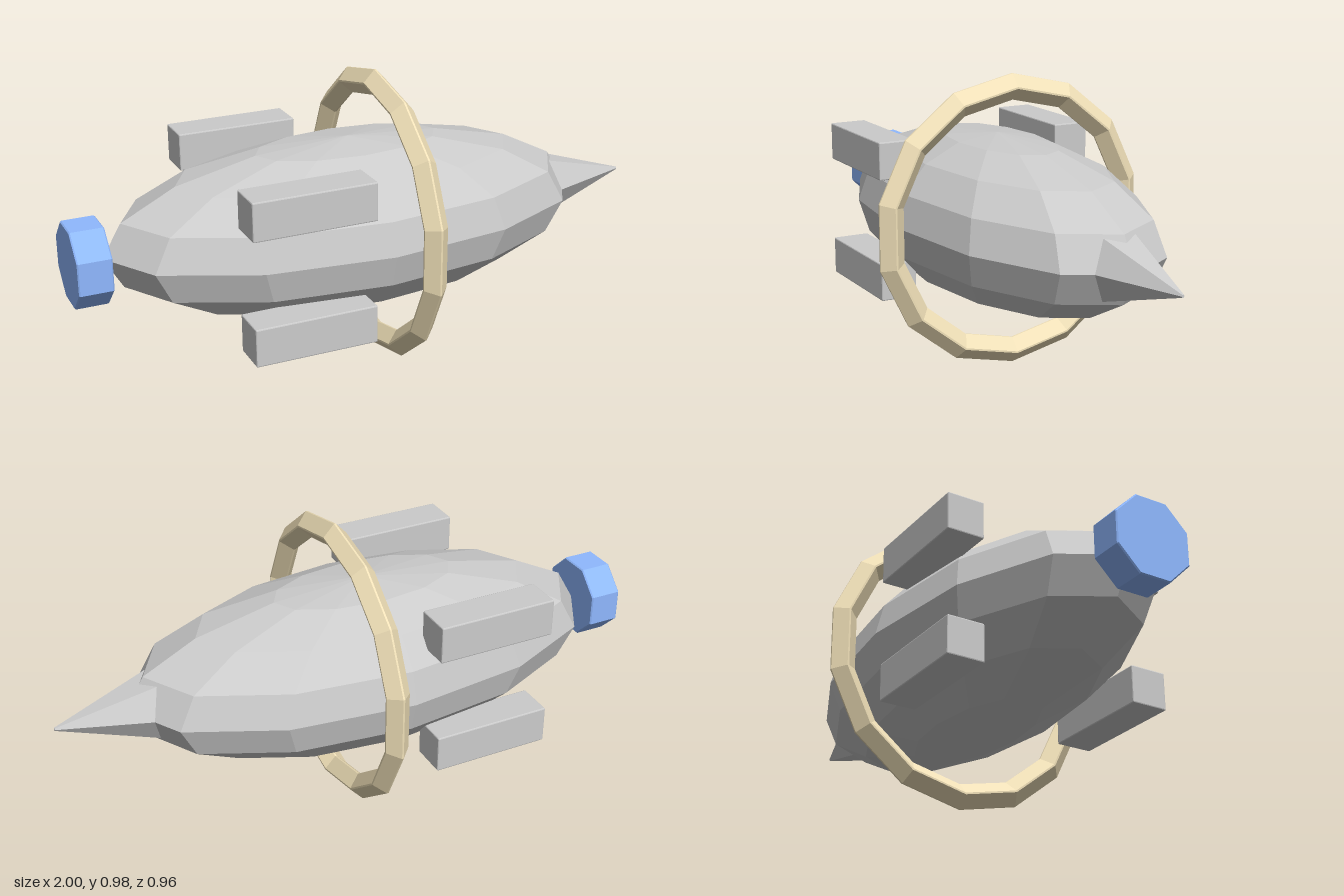
import * as THREE from 'three';
import { RoundedBoxGeometry } from 'three/addons/geometries/RoundedBoxGeometry.js';

const AXIS_Y = 0.494; // height of the long axis

const flat = (color) => new THREE.MeshStandardMaterial({ color, flatShading: true });

// Turn a [distance along x, radius] profile around the long axis.
function turned(profile, sides, phiStart = 0) {
  const points = profile.map(([x, r]) => new THREE.Vector2(r, x));
  return new THREE.LatheGeometry(points, sides, phiStart).rotateZ(-Math.PI / 2);
}

export function createModel() {
  const model = new THREE.Group();
  model.name = 'spaceship';
  const grey = flat(0xcccccc);
  const cream = flat(0xf0e0b8);
  const blue = flat(0x8fb8ff);

  function add(name, geometry, material, x, y = AXIS_Y, z = 0) {
    const mesh = new THREE.Mesh(geometry, material);
    mesh.name = name;
    mesh.position.set(x, y, z);
    model.add(mesh);
  }

  // Faceted hull, a stretched low-poly ball
  add('hull', new THREE.SphereGeometry(1, 12, 8).scale(0.83, 0.281, 0.375), grey, -0.06);

  // Six-sided nose spike, its base sunk in the hull
  add('noseSpike', turned([[0.62, 0], [0.62, 0.131], [1, 0.005], [1, 0]], 6), grey, 0);

  // Eight-sided engine nozzle with a fine bevel
  const R = 0.138, b = 0.004;
  add('engineNozzle', turned([
    [-1, 0], [-1, R - b], [-1 + b, R], [-0.89 - b, R], [-0.89, R - b], [-0.89, 0],
  ], 8, Math.PI / 8), blue, 0);

  // Ring of fourteen segments with a bevelled diamond section
  const mid = 0.447, h = 0.04, t = 0.043, c = 0.003;
  add('ring', turned([
    [-h, mid - c], [-h, mid + c], [-c, mid + t], [c, mid + t],
    [h, mid + c], [h, mid - c], [c, mid - t], [-c, mid - t], [-h, mid - c],
  ], 14, Math.PI / 2), cream, 0.041);

  // Four side pods, mirrored up/down and left/right
  for (const up of [1, -1]) {
    for (const side of [1, -1]) {
      const name = `${up > 0 ? 'upper' : 'lower'}${side > 0 ? 'Front' : 'Back'}Pod`;
      add(name, new RoundedBoxGeometry(0.405, 0.126, 0.126, 1, 0.004), grey,
        -0.337, AXIS_Y + up * 0.205, side * 0.331);
    }
  }
  return model;
}
